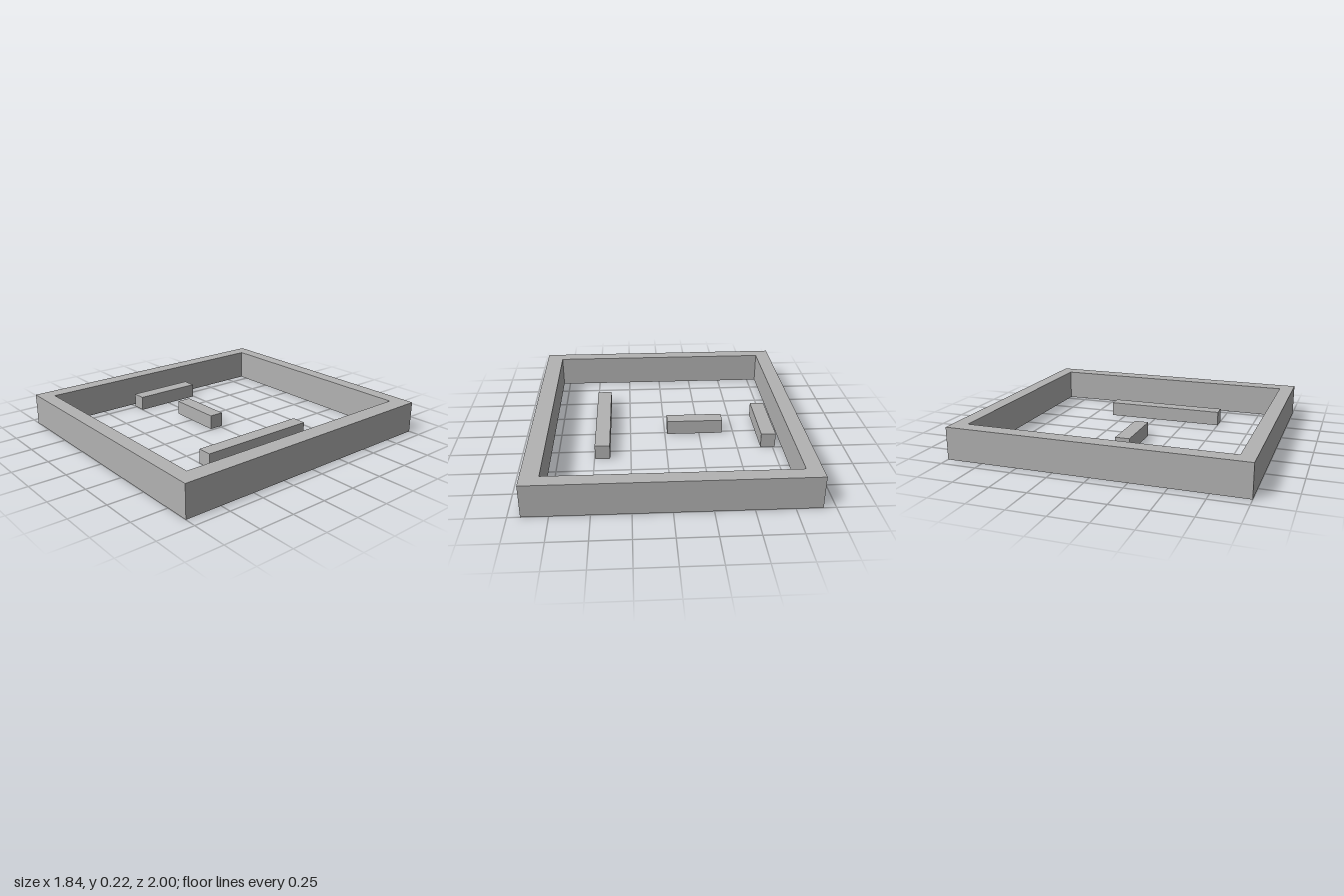
import * as THREE from 'three';

const grey = new THREE.MeshStandardMaterial({ color: 0xb2b2b2 });
grey.name = 'plain grey';

// Block standing on the ground, spanning x0..x1 and z0..z1
function block(name, x0, x1, z0, z1, height) {
  const mesh = new THREE.Mesh(new THREE.BoxGeometry(x1 - x0, height, z1 - z0), grey);
  mesh.position.set((x0 + x1) / 2, height / 2, (z0 + z1) / 2);
  mesh.name = name;
  return mesh;
}

export function createModel() {
  const model = new THREE.Group();
  model.name = 'walledCourt';

  // Rectangular outer wall, slightly thicker on the left side
  const wall = new THREE.Shape([
    [-0.92, -1], [0.92, -1], [0.92, 1], [-0.92, 1],
  ].map(([x, y]) => new THREE.Vector2(x, y)));
  wall.holes.push(new THREE.Path([
    [-0.815, -0.9], [-0.815, 0.9], [0.8, 0.9], [0.8, -0.9],
  ].map(([x, y]) => new THREE.Vector2(x, y))));
  const wallGeometry = new THREE.ExtrudeGeometry(wall, { depth: 0.222, bevelEnabled: false });
  wallGeometry.rotateX(-Math.PI / 2);
  const outerWall = new THREE.Mesh(wallGeometry, grey);
  outerWall.name = 'outerWall';
  model.add(outerWall);

  // Low free-standing barriers inside the wall
  model.add(
    block('rightBarrier', -0.767, -0.665, -0.243, 0.248, 0.102),
    block('middleBarrier', -0.418, -0.018, -0.021, 0.081, 0.102),
    block('leftBarrier', 0.393, 0.495, -0.35, 0.5, 0.102),
  );
  return model;
}
